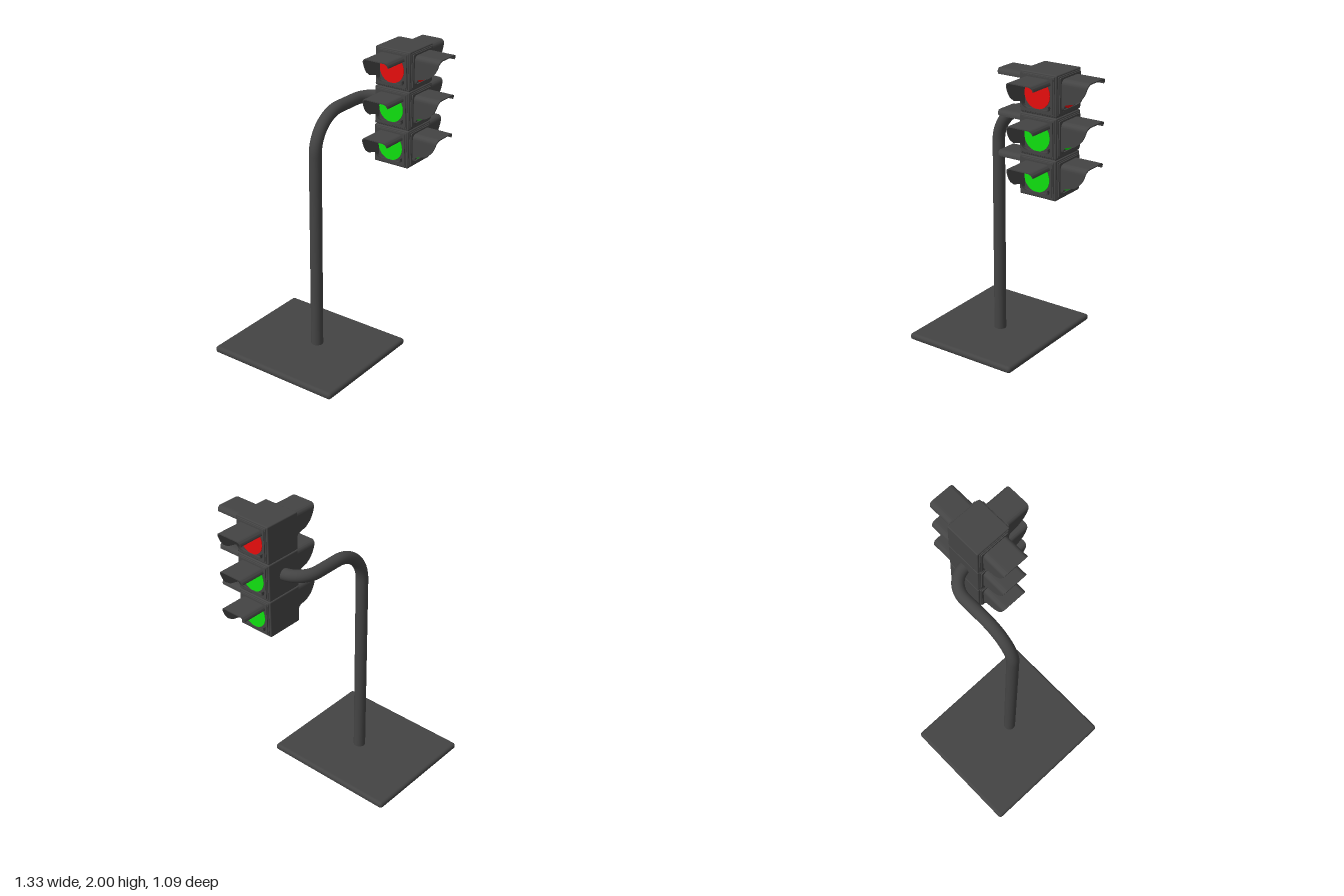
import * as THREE from 'three';
import { RoundedBoxGeometry } from 'three/addons/geometries/RoundedBoxGeometry.js';
import { toCreasedNormals } from 'three/addons/utils/BufferGeometryUtils.js';

const material = (color, side = THREE.FrontSide) => {
  const m = new THREE.MeshStandardMaterial({ side });
  m.color.set(color);
  return m;
};
const dark = material(0x444444);
const darkThin = material(0x444444, THREE.DoubleSide);
const red = material(0xe60d0d);
const green = material(0x10e010);

function add(parent, name, geometry, mat, x = 0, y = 0, z = 0) {
  const mesh = new THREE.Mesh(geometry, mat);
  mesh.name = name;
  mesh.position.set(x, y, z);
  parent.add(mesh);
  return mesh;
}

function roundedSquare(half, r) {
  const s = new THREE.Shape();
  const c = half - r;
  s.moveTo(half, -c);
  s.absarc(c, c, r, 0, Math.PI / 2);
  s.absarc(-c, c, r, Math.PI / 2, Math.PI);
  s.absarc(-c, -c, r, Math.PI, Math.PI * 1.5);
  s.absarc(c, -c, r, Math.PI * 1.5, Math.PI * 2);
  return s;
}

// Visor outline: [height from lens centre, reach from head centre]
const OUTLINE = [[-0.098, 0.14], [-0.087, 0.148], [-0.071, 0.156], [-0.052, 0.165], [-0.045, 0.186],
  [-0.034, 0.233], [-0.007, 0.27], [0.02, 0.289], [0.046, 0.301], [0.094, 0.317]];

function reach(v) {
  for (let i = 1; i < OUTLINE.length; i++) {
    const [v0, z0] = OUTLINE[i - 1];
    const [v1, z1] = OUTLINE[i];
    if (v <= v1) return z0 + (z1 - z0) * Math.max(0, (v - v0) / (v1 - v0));
  }
  return OUTLINE[OUTLINE.length - 1][1];
}

// Thin rounded-square tunnel whose open end is cut along the outline
function visorGeometry() {
  const pts = roundedSquare(0.095, 0.03).getSpacedPoints(120);
  const pos = [];
  const index = [];
  pts.forEach((p, i) => {
    const z = reach(p.y);
    const k = 0.93;
    pos.push(p.x, p.y, 0.125, p.x, p.y, z, p.x * k, p.y * k, z, p.x * k, p.y * k, 0.125);
    if (i === pts.length - 1) return;
    for (let j = 0; j < 3; j++) {
      const a = i * 4 + j;
      index.push(a, a + 4, a + 5, a, a + 5, a + 1);
    }
  });
  const g = new THREE.BufferGeometry();
  g.setAttribute('position', new THREE.Float32BufferAttribute(pos, 3));
  g.setIndex(index);
  return toCreasedNormals(g, 0.6);
}

// Quarter bend from a to b around the given corner
function bend(a, corner, b) {
  const k = 0.5523;
  return new THREE.CubicBezierCurve3(a, a.clone().lerp(corner, k), b.clone().lerp(corner, k), b);
}

export function createModel() {
  const model = new THREE.Group();
  model.name = 'trafficLight';

  // Base slab
  add(model, 'base', new RoundedBoxGeometry(0.83, 0.046, 0.945, 4, 0.021), dark, -0.25, 0.028, -0.0725);

  // Pole: upright, bend, arm, bend into the back of the head
  const V = (x, y, z) => new THREE.Vector3(x, y, z);
  const poleZ = -0.035, armY = 1.633;
  const p = [V(-0.225, 0, poleZ), V(-0.225, 1.388, poleZ), V(0.02, armY, poleZ),
    V(0.19, armY, poleZ), V(0.343, armY, 0.118), V(0.343, armY, 0.15)];
  const path = new THREE.CurvePath();
  path.add(new THREE.LineCurve3(p[0], p[1]));
  path.add(bend(p[1], V(-0.225, armY, poleZ), p[2]));
  path.add(new THREE.LineCurve3(p[2], p[3]));
  path.add(bend(p[3], V(0.343, armY, poleZ), p[4]));
  path.add(new THREE.LineCurve3(p[4], p[5]));
  add(model, 'pole', new THREE.TubeGeometry(path, 120, 0.04, 20), dark);
  add(model, 'poleFoot', new THREE.CircleGeometry(0.04, 20), dark, -0.225, 0, poleZ).rotation.x = Math.PI / 2;

  // Signal head: three stacked housings, each lit on three sides
  const head = new THREE.Group();
  head.name = 'signalHead';
  head.position.set(0.344, 0, 0.225);
  model.add(head);

  const housing = new RoundedBoxGeometry(0.254, 0.249, 0.254, 2, 0.007);
  const door = new RoundedBoxGeometry(0.23, 0.23, 0.03, 2, 0.004);
  const frameShape = roundedSquare(0.108, 0.01);
  frameShape.holes.push(roundedSquare(0.094, 0.03));
  const frame = new THREE.ExtrudeGeometry(frameShape, { depth: 0.02, bevelEnabled: false, curveSegments: 6 });
  const visor = visorGeometry();
  const lens = new THREE.CylinderGeometry(0.088, 0.088, 0.02, 40).rotateX(Math.PI / 2);

  [['top', 1.8755, red], ['middle', 1.621, green], ['bottom', 1.3665, green]].forEach(([level, y, color]) => {
    const section = new THREE.Group();
    section.name = level + 'Section';
    section.position.y = y;
    head.add(section);
    add(section, 'housing', housing, dark);
    [['front', 0], ['left', Math.PI / 2], ['right', -Math.PI / 2]].forEach(([side, angle]) => {
      const face = new THREE.Group();
      face.name = side + 'Signal';
      face.rotation.y = angle;
      section.add(face);
      add(face, 'door', door, dark, 0, 0, 0.118);
      add(face, 'lensFrame', frame, dark, 0, 0, 0.12);
      add(face, 'lens', lens, color, 0, 0, 0.127);
      add(face, 'visor', visor, darkThin, 0, 0.002, 0);
    });
  });
  // Narrow necks joining the housings
  for (const y of [1.748, 1.494]) add(head, 'neck', new THREE.BoxGeometry(0.236, 0.02, 0.236), dark, 0, y, 0);

  return model;
}
